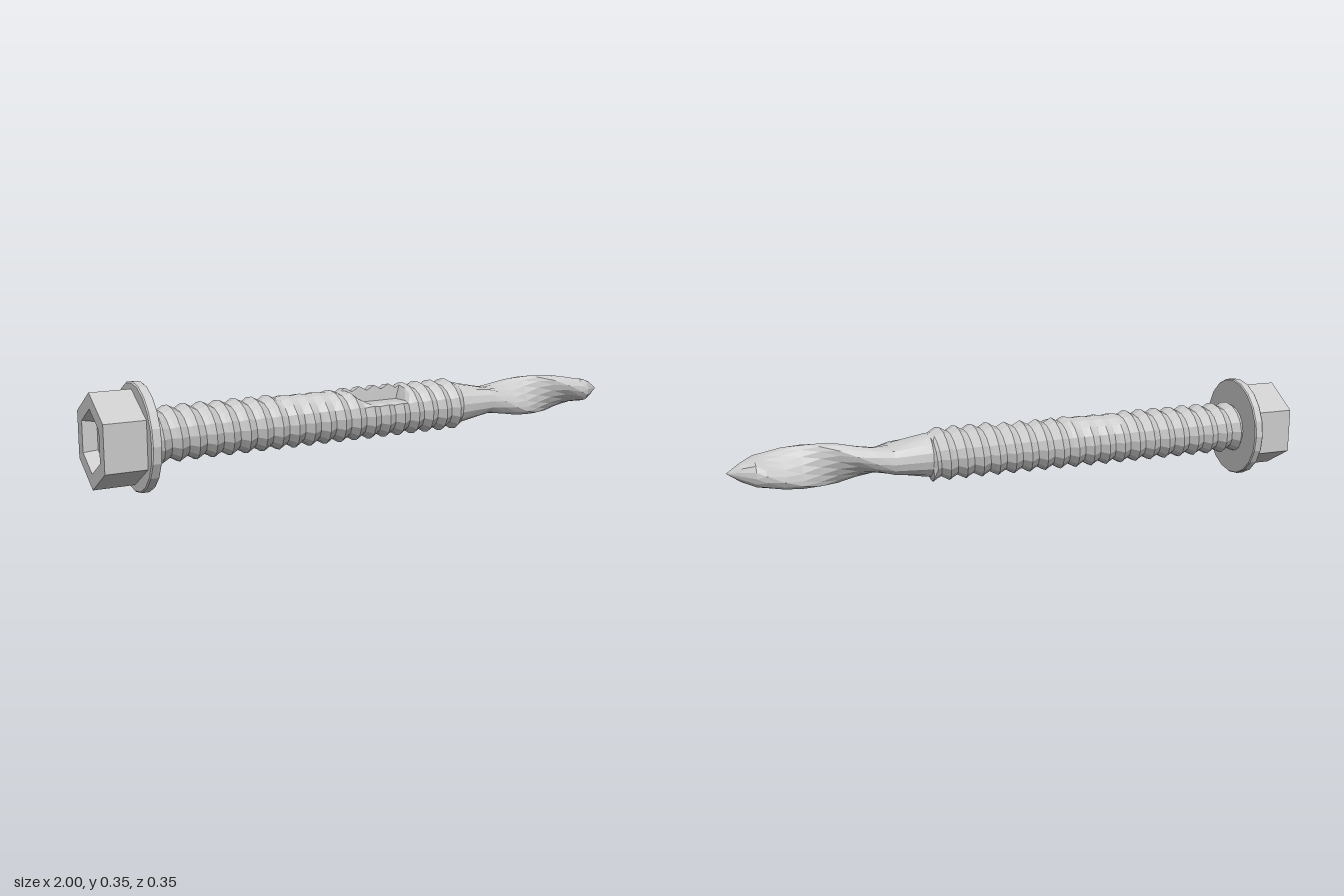
import * as THREE from 'three';

const AXIS_Y = 0.176;
const TAU = Math.PI * 2;
const { lerp, clamp, smoothstep } = THREE.MathUtils;

// Skin a grid of points; columns run around +x (from +y towards +z), rows along the axis
function loft(name, rows, cols, point) {
  const pos = [], index = [];
  for (let i = 0; i <= rows; i++)
    for (let j = 0; j <= cols; j++) pos.push(...point(i, j));
  for (let i = 0; i < rows; i++)
    for (let j = 0; j < cols; j++) {
      const a = i * (cols + 1) + j, b = a + 1, c = a + cols + 1, d = c + 1;
      index.push(a, b, c, b, d, c);
    }
  const g = new THREE.BufferGeometry();
  g.setAttribute('position', new THREE.Float32BufferAttribute(pos, 3));
  g.setIndex(index);
  g.computeVertexNormals();
  const mesh = new THREE.Mesh(g, new THREE.MeshStandardMaterial({ color: 0xcccccc, flatShading: true }));
  mesh.name = name;
  return mesh;
}

// Revolve an [x, radius] profile around the screw axis
function turned(name, profile, sides) {
  return loft(name, profile.length - 1, sides, (i, j) => {
    const [x, r] = profile[i], t = (j / sides) * TAU;
    return [x, r * Math.cos(t), r * Math.sin(t)];
  });
}

// Helical thread with a worn stretch and a notch cut into its upper front
function makeThread() {
  const start = -0.84, end = 0.33, pitch = 0.058, sides = 16;
  const tooth = [0.077, 0.084, 0.093, 0.085];
  const rows = Math.ceil((end - start) / pitch) * 4 + 5;
  return loft('thread', rows, sides + 1, (i, j) => {
    // the extra column next to the top gives the notch a steep wall
    const t = j === 0 ? 0 : j === 1 ? 0.03 : ((j - 1) / sides) * TAU;
    const raw = start + ((i - 4) / 4 + t / TAU) * pitch;
    const x = clamp(raw, start, end);
    let r = raw > end || raw < start ? 0.075 : tooth[i % 4];
    const worn = smoothstep(x, -0.4, -0.35) * (1 - smoothstep(x, -0.2, -0.14));
    if (Math.cos(t) > 0) r = lerp(r, 0.086, worn * 0.8 * Math.cos(t));
    let y = r * Math.cos(t);
    const z = r * Math.sin(t);
    if (z > 0.001 && x > -0.14 && x < 0.1)
      y = Math.min(y, lerp(0.09, 0.038, smoothstep(x, -0.14, -0.04)));
    return [x, y, z];
  });
}

// Twisted two-flute drill: a round bar flattened to a slab that turns along the axis
function makeDrillTip() {
  // x, outer radius, half thickness of the slab
  const sections = [
    [0.31, 0.075, 0.075], [0.34, 0.075, 0.073], [0.4, 0.074, 0.06], [0.46, 0.073, 0.048],
    [0.52, 0.073, 0.042], [0.58, 0.073, 0.036], [0.64, 0.073, 0.03], [0.7, 0.073, 0.027],
    [0.76, 0.073, 0.03], [0.82, 0.073, 0.035], [0.88, 0.072, 0.04], [0.91, 0.066, 0.043],
    [0.955, 0.033, 0.029], [1, 0, 0],
  ];
  const sides = 16;
  return loft('drillTip', sections.length - 1, sides, (i, j) => {
    const [x, r, h] = sections[i];
    const t = (j / sides) * TAU;
    const turn = ((clamp(x, 0.46, 0.91) - 0.7) / 0.23) * (Math.PI / 2);
    // u runs across the blade, v through its thickness
    const u = r * Math.cos(t);
    const v = lerp(h * Math.sin(t), clamp(r * Math.sin(t), -h, h), 0.5);
    return [x, u * Math.cos(turn) - v * Math.sin(turn), u * Math.sin(turn) + v * Math.cos(turn)];
  });
}

export function createModel() {
  const model = new THREE.Group();
  model.name = 'selfDrillingScrew';
  const screw = new THREE.Group();
  screw.name = 'screw';
  screw.position.y = AXIS_Y;

  // Hexagonal head with a shallow recess in its end face
  screw.add(turned('hexHead', [
    [-0.955, 0], [-0.955, 0.09], [-0.99, 0.1], [-1, 0.102], [-1, 0.153], [-0.86, 0.153],
  ], 6));
  // Washer flange
  screw.add(turned('flange', [
    [-0.866, 0], [-0.866, 0.172], [-0.862, 0.176], [-0.838, 0.176], [-0.834, 0.173], [-0.834, 0],
  ], 20));
  screw.add(makeThread(), makeDrillTip());

  model.add(screw);
  return model;
}
